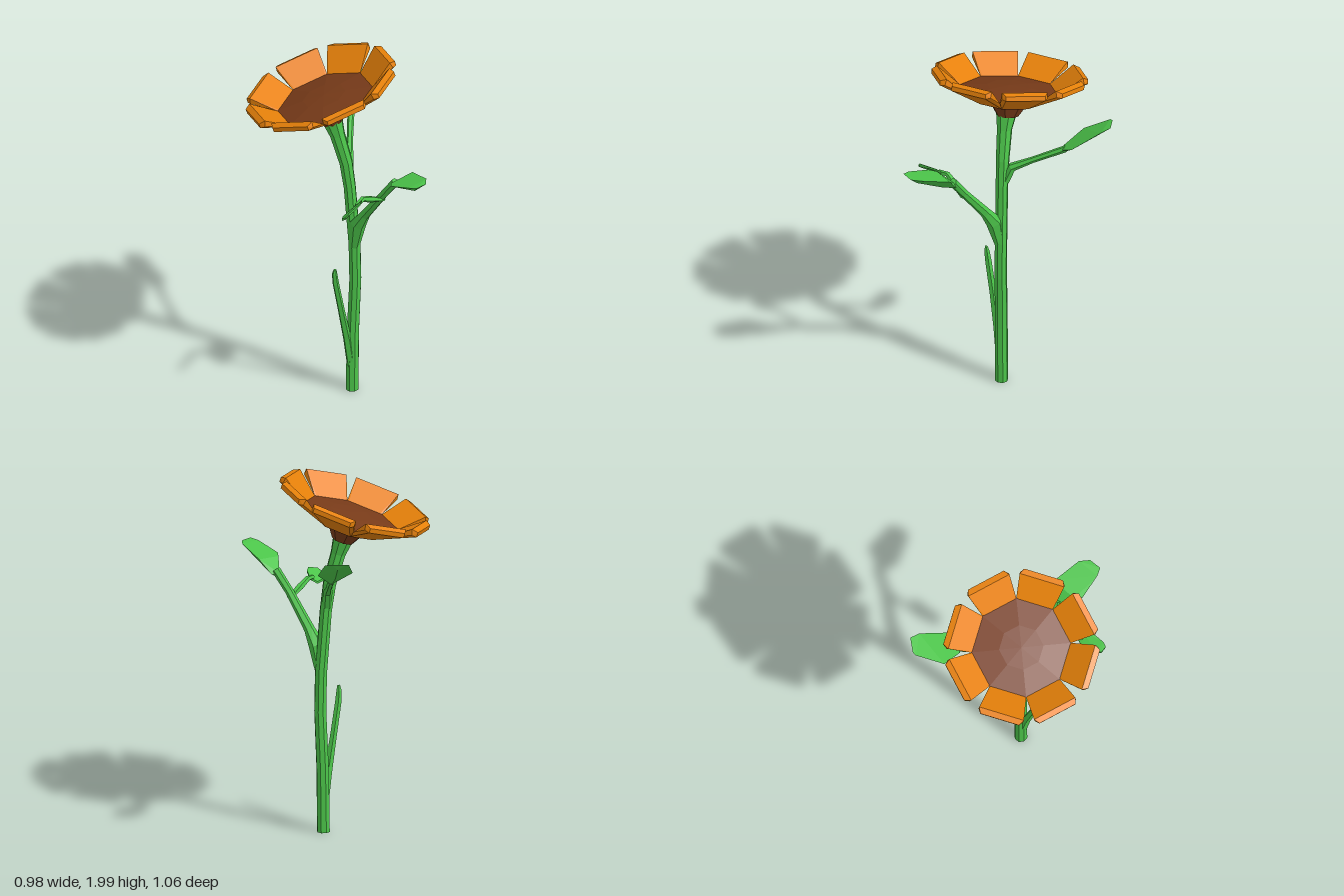
import * as THREE from 'three';
import { ConvexGeometry } from 'three/addons/geometries/ConvexGeometry.js';

const material = (color) =>
  new THREE.MeshStandardMaterial({ color, flatShading: true });
const green = material(0x4cc54a);
const orange = material(0xe8820a);
const brown = material(0x783b19);

function mesh(name, geometry, mat) {
  const m = new THREE.Mesh(geometry, mat);
  m.name = name;
  return m;
}

// Faceted stalk through rings given as [x, y, z, radius], closed at both ends
function stalk(rings, sides) {
  const pts = rings.map(([x, y, z]) => new THREE.Vector3(x, y, z));
  const up = new THREE.Vector3(0, 1, 0);
  const pos = [], index = [];
  rings.forEach((r, i) => {
    const dir = pts[Math.min(i + 1, pts.length - 1)].clone()
      .sub(pts[Math.max(i - 1, 0)]).normalize();
    // The first ring stays level
    const turn = new THREE.Quaternion().setFromUnitVectors(up, i ? dir : up);
    for (let k = 0; k < sides; k++) {
      const a = ((k + 0.5) / sides) * Math.PI * 2;
      const v = new THREE.Vector3(Math.sin(a) * r[3], 0, Math.cos(a) * r[3]);
      pos.push(...v.applyQuaternion(turn).add(pts[i]).toArray());
    }
  });
  for (let i = 0; i < rings.length - 1; i++) {
    for (let k = 0; k < sides; k++) {
      const a = i * sides + k, b = i * sides + ((k + 1) % sides);
      index.push(a, b, b + sides, a, b + sides, a + sides);
    }
  }
  const top = (rings.length - 1) * sides;
  for (let k = 1; k < sides - 1; k++) {
    index.push(0, k + 1, k, top, top + k, top + k + 1);
  }
  const g = new THREE.BufferGeometry();
  g.setAttribute('position', new THREE.Float32BufferAttribute(pos, 3));
  g.setIndex(index);
  g.computeVertexNormals();
  return g;
}

const hull = (points) =>
  new ConvexGeometry(points.map((p) => new THREE.Vector3(...p)));

// Flower head, built upright around the rim centre and then tilted
function flowerHead() {
  const head = new THREE.Group();
  head.name = 'flowerHead';
  const profile = [
    [0, -0.142], [0.06, -0.142], [0.108, -0.065], [0.19, -0.055],
    [0.27, 0], [0.12, 0.02], [0, 0.026],
  ].map(([r, y]) => new THREE.Vector2(r, y));
  head.add(mesh('seedDisc', new THREE.LatheGeometry(profile, 8), brown));

  // Half outline of a petal: half width, height, distance from the axis
  const half = [
    [0.103, 0.001, 0.249], [0.073, -0.054, 0.175],
    [0.125, 0.1, 0.374], [0.108, 0.088, 0.406],
    [0.125, 0.066, 0.382], [0.108, 0.062, 0.406],
  ];
  const petal = hull(half.flatMap(([x, y, z]) => [[x, y, z], [-x, y, z]]));
  for (let i = 0; i < 8; i++) {
    const p = mesh('petal', petal, orange);
    p.rotation.y = ((i + 0.5) / 8) * Math.PI * 2;
    head.add(p);
  }
  head.position.set(-0.066, 1.78, 0.052);
  head.rotation.z = THREE.MathUtils.degToRad(17.5);
  return head;
}

export function createModel() {
  const flower = new THREE.Group();
  flower.name = 'flower';

  flower.add(mesh('stem', stalk([
    [0.079, 0, 0.065, 0.036], [0.083, 0.35, 0.065, 0.035],
    [0.096, 0.68, 0.065, 0.034], [0.092, 0.9, 0.065, 0.034],
    [0.066, 1.25, 0.065, 0.034], [0.046, 1.4, 0.065, 0.037],
    [0, 1.57, 0.063, 0.042], [-0.026, 1.655, 0.058, 0.057],
  ], 8), green));
  flower.add(flowerHead());

  // Large front leaf on its branch, with a thick fork at the stem
  flower.add(mesh('frontBranch', stalk([
    [0.09, 0.87, 0.07, 0.026], [0.112, 1.04, 0.1, 0.044],
    [0.15, 1.12, 0.14, 0.029], [0.25, 1.3, 0.24, 0.023],
    [0.32, 1.41, 0.285, 0.024],
  ], 6), green));
  flower.add(mesh('frontLeaf', hull([
    [0.3, 1.39, 0.275], [0.345, 1.39, 0.262], [0.32, 1.375, 0.275],
    [0.3, 1.455, 0.375], [0.3, 1.46, 0.42], [0.41, 1.47, 0.28],
    [0.365, 1.4, 0.34], [0.49, 1.512, 0.42], [0.49, 1.512, 0.48],
    [0.44, 1.512, 0.53], [0.4, 1.503, 0.51], [0.43, 1.455, 0.455],
  ]), green));

  // Small leaf on a twig off the front branch
  flower.add(mesh('twig', stalk([
    [0.245, 1.27, 0.235, 0.021], [0.19, 1.305, 0.295, 0.019],
    [0.145, 1.335, 0.345, 0.015], [0.115, 1.325, 0.4, 0.013],
  ], 5), green));
  const smallOutline = [
    [0.145, 1.355, 0.405], [0.135, 1.358, 0.45], [0.08, 1.335, 0.51],
    [0.06, 1.312, 0.52], [0.04, 1.29, 0.495], [0.045, 1.29, 0.465],
    [0.09, 1.295, 0.39], [0.13, 1.325, 0.372],
  ];
  flower.add(mesh('smallLeaf', hull(smallOutline.flatMap(
    ([x, y, z]) => [[x, y - 0.006, z], [x, y + 0.006, z]],
  )), green));

  // Back leaf
  flower.add(mesh('backBranch', stalk([
    [0.06, 1.27, 0.05, 0.026], [0.06, 1.37, 0.01, 0.025],
    [0.06, 1.43, -0.1, 0.017], [0.06, 1.525, -0.28, 0.019],
  ], 6), green));
  flower.add(mesh('backLeaf', hull([
    [0.03, 1.53, -0.268], [0.085, 1.53, -0.268], [0.06, 1.505, -0.275],
    [-0.05, 1.597, -0.36], [0.11, 1.55, -0.3], [0.135, 1.575, -0.33],
    [0.107, 1.682, -0.48], [0.08, 1.703, -0.53], [-0.003, 1.698, -0.525],
    [-0.02, 1.693, -0.51], [0.045, 1.558, -0.36], [0.04, 1.665, -0.505],
  ]), green));

  // Narrow blade near the ground
  flower.add(mesh('lowerBlade', stalk([
    [0.074, 0.15, 0.075, 0.024], [0.054, 0.32, 0.092, 0.023],
    [0.022, 0.52, 0.123, 0.019], [-0.006, 0.7, 0.153, 0.018],
    [-0.011, 0.76, 0.162, 0.015], [-0.009, 0.79, 0.165, 0.008],
  ], 5), green));

  return flower;
}
